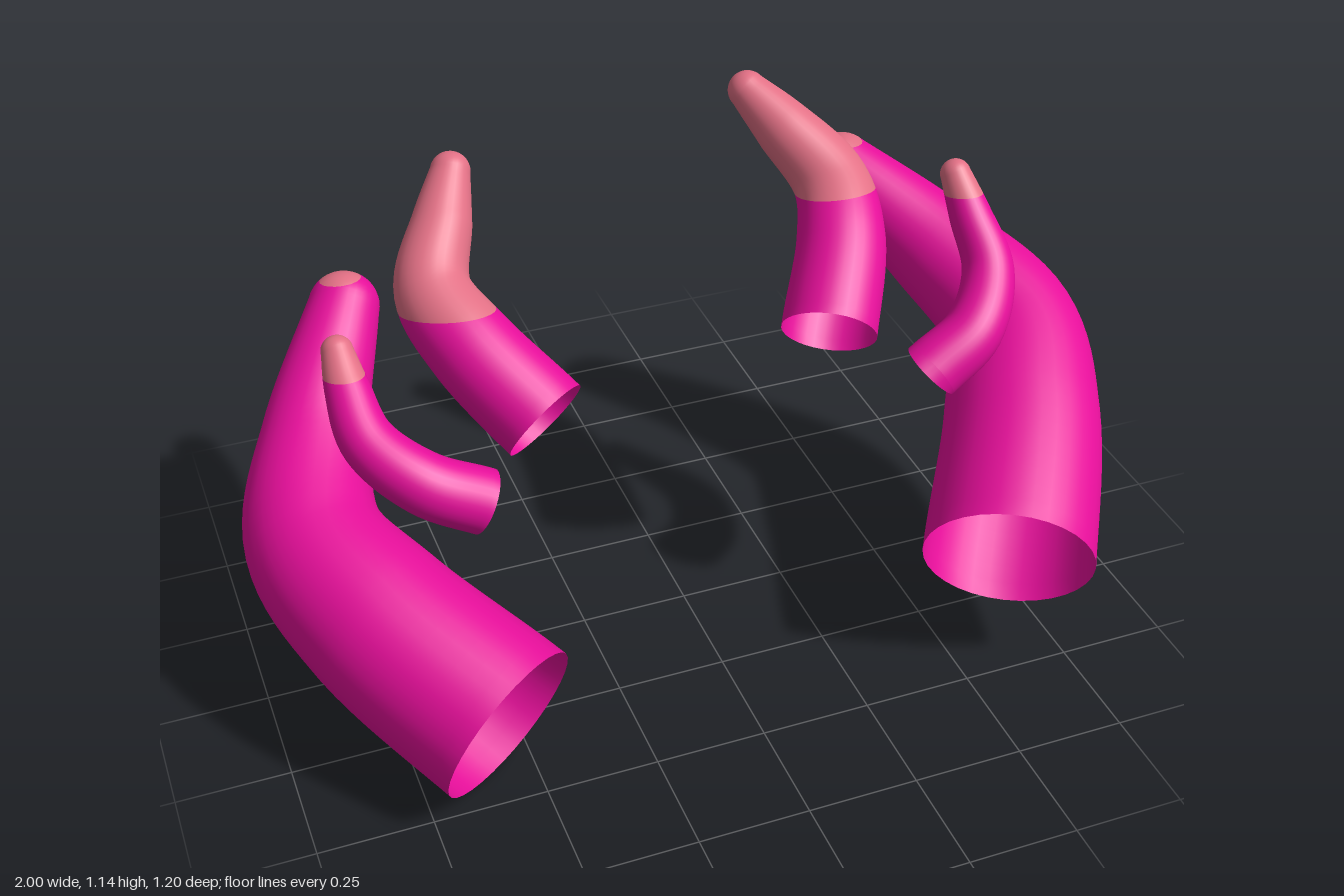
import * as THREE from 'three';

const SIDES = 32, RINGS = 36, CAP = 10;

const hide = new THREE.MeshStandardMaterial({ color: 0xe60e9a, side: THREE.DoubleSide });
hide.name = 'magenta';
const tipPaint = new THREE.MeshStandardMaterial({ color: 0xe27085, side: THREE.DoubleSide });
tipPaint.name = 'dusty pink';

// Tapered tube along five points, open at the base, with a rounded end
function hornGeometry(points, baseRadius, tipRadius) {
  const path = new THREE.CatmullRomCurve3(points.map(p => new THREE.Vector3(...p)));
  const reference = new THREE.Vector3(0, 1, 1).normalize();
  const positions = [], index = [];
  for (let i = 0; i <= RINGS + CAP; i++) {
    const t = Math.min(i / RINGS, 1);
    const bend = Math.max(0, i - RINGS) / CAP * Math.PI / 2 * 0.998;
    const radius = baseRadius + (tipRadius - baseRadius) * t ** 1.6;
    const along = path.getTangent(t);
    const a = reference.clone().cross(along).normalize();
    const b = along.clone().cross(a);
    const center = path.getPoint(t).addScaledVector(along, radius * Math.sin(bend));
    for (let j = 0; j < SIDES; j++) {
      const angle = j / SIDES * Math.PI * 2, ring = radius * Math.cos(bend);
      const p = center.clone().addScaledVector(a, ring * Math.cos(angle)).addScaledVector(b, ring * Math.sin(angle));
      positions.push(p.x, p.y, p.z);
      if (i === RINGS + CAP) continue;
      const k = i * SIDES + j, next = i * SIDES + (j + 1) % SIDES;
      index.push(k, next, next + SIDES, k, next + SIDES, k + SIDES);
    }
  }
  const geometry = new THREE.BufferGeometry();
  geometry.setAttribute('position', new THREE.Float32BufferAttribute(positions, 3));
  geometry.setIndex(index);
  geometry.computeVertexNormals();
  return geometry;
}

// Keep only the part of a geometry on one side of the colour boundary
function clip(geometry, cut, sign) {
  const { position, normal } = geometry.attributes, index = geometry.index.array;
  const positions = [], normals = [];
  const corner = k => {
    const p = new THREE.Vector3().fromBufferAttribute(position, k);
    const n = new THREE.Vector3().fromBufferAttribute(normal, k);
    return { p, n, d: sign * (p.y - cut.y - cut.slope * (p.z - cut.z)) };
  };
  for (let f = 0; f < index.length; f += 3) {
    const tri = [corner(index[f]), corner(index[f + 1]), corner(index[f + 2])], kept = [];
    tri.forEach((v, i) => {
      const w = tri[(i + 1) % 3];
      if (v.d >= 0) kept.push(v);
      if ((v.d >= 0) !== (w.d >= 0)) {
        const s = v.d / (v.d - w.d);
        kept.push({ p: v.p.clone().lerp(w.p, s), n: v.n.clone().lerp(w.n, s).normalize() });
      }
    });
    for (let i = 2; i < kept.length; i++) {
      for (const v of [kept[0], kept[i - 1], kept[i]]) {
        positions.push(v.p.x, v.p.y, v.p.z);
        normals.push(v.n.x, v.n.y, v.n.z);
      }
    }
  }
  const part = new THREE.BufferGeometry();
  part.setAttribute('position', new THREE.Float32BufferAttribute(positions, 3));
  part.setAttribute('normal', new THREE.Float32BufferAttribute(normals, 3));
  return part;
}

// One horn: magenta shaft below the boundary plane, pink tip above it
function horn(name, baseRadius, tipRadius, cut, points) {
  const group = new THREE.Group();
  group.name = name;
  const whole = hornGeometry(points, baseRadius, tipRadius);
  const shaft = new THREE.Mesh(clip(whole, cut, -1), hide);
  shaft.name = 'shaft';
  const tip = new THREE.Mesh(clip(whole, cut, 1), tipPaint);
  tip.name = 'tip';
  return group.add(shaft, tip);
}

export function createModel() {
  const model = new THREE.Group();
  model.name = 'horns';

  // Large outer horns
  model.add(horn('leftLargeHorn', 0.19, 0.083, { y: 0.872, z: -0.5, slope: 0.1 },
    [[0.58, 0.32, 0.49], [0.76, 0.46, 0.19], [0.84, 0.56, -0.04], [0.745, 0.67, -0.265], [0.59, 0.808, -0.478]]));
  model.add(horn('rightLargeHorn', 0.19, 0.082, { y: 0.724, z: -0.54, slope: 0.2 },
    [[-0.565, 0.18, 0.46], [-0.76, 0.3, 0.18], [-0.845, 0.38, -0.04], [-0.78, 0.485, -0.28], [-0.645, 0.662, -0.512]]));

  // Middle inner horns
  model.add(horn('leftMiddleHorn', 0.107, 0.045, { y: 0.92, z: -0.19, slope: 0.36 },
    [[0.315, 0.725, 0.075], [0.41, 0.855, -0.085], [0.435, 0.935, -0.21], [0.365, 1.03, -0.32], [0.305, 1.1, -0.395]]));
  model.add(horn('rightMiddleHorn', 0.106, 0.045, { y: 0.81, z: -0.19, slope: 0.3 },
    [[-0.34, 0.64, 0.06], [-0.45, 0.755, -0.095], [-0.497, 0.835, -0.23], [-0.44, 0.935, -0.34], [-0.395, 1.015, -0.415]]));

  // Small front horns
  model.add(horn('leftSmallHorn', 0.069, 0.034, { y: 0.985, z: 0.03, slope: 0.24 },
    [[0.475, 0.7, 0.26], [0.585, 0.765, 0.235], [0.66, 0.85, 0.145], [0.652, 0.945, 0.06], [0.64, 1.02, 0]]));
  model.add(horn('rightSmallHorn', 0.071, 0.034, { y: 0.82, z: 0, slope: 0.24 },
    [[-0.525, 0.59, 0.225], [-0.645, 0.655, 0.205], [-0.735, 0.725, 0.12], [-0.75, 0.8, 0.025], [-0.752, 0.856, -0.035]]));

  return model;
}
